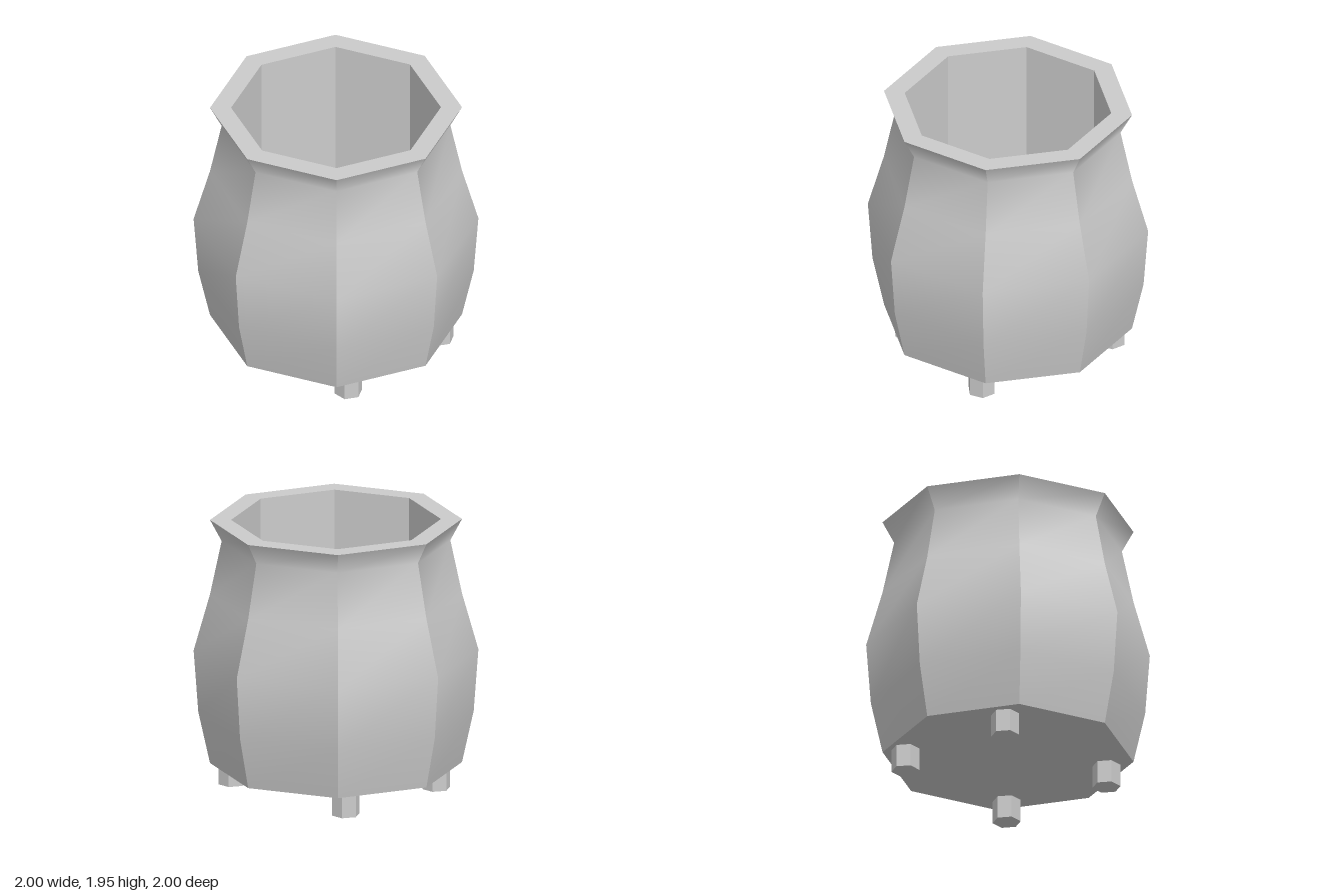
import * as THREE from 'three';
import { mergeGeometries } from 'three/addons/utils/BufferGeometryUtils.js';

const SIDES = 8;

// One side of the barrel: smooth along the profile, sharp against its neighbours.
function facet(profile, index) {
  const positions = [], indices = [];
  for (const [r, y] of profile) {
    for (const i of [index, index + 1]) {
      const a = (i / SIDES) * Math.PI * 2;
      positions.push(r * Math.sin(a), y, r * Math.cos(a));
    }
  }
  for (let k = 0; k < profile.length - 1; k++) {
    const b = 2 * k;
    if (profile[k][0] > 0) indices.push(b, b + 1, b + 3);
    if (profile[k + 1][0] > 0) indices.push(b, b + 3, b + 2);
  }
  const g = new THREE.BufferGeometry();
  g.setAttribute('position', new THREE.Float32BufferAttribute(positions, 3));
  g.setIndex(indices);
  g.computeVertexNormals();
  return g;
}

export function createModel() {
  const group = new THREE.Group();
  const material = new THREE.MeshStandardMaterial({ color: 0xcccccc });

  const addRing = (name, profile) => {
    const sides = Array.from({ length: SIDES }, (_, i) => facet(profile, i));
    const mesh = new THREE.Mesh(mergeGeometries(sides), material);
    mesh.name = name;
    group.add(mesh);
  };

  // Barrel shell, as [radius, height] profiles running from the underside to the inner floor
  addRing('underside', [[0, 0.165], [0.885, 0.165]]);
  addRing('outerWall', [[0.885, 0.165], [0.967, 0.54], [1, 0.99], [0.885, 1.4], [0.803, 1.79], [0.885, 1.945]]);
  addRing('rim', [[0.885, 1.945], [0.737, 1.945]]);
  addRing('innerWall', [[0.737, 1.945], [0.737, 0.32]]);
  addRing('innerFloor', [[0.737, 0.32], [0, 0.32]]);

  // Four short hexagonal feet
  const footMaterial = new THREE.MeshStandardMaterial({ color: 0xcccccc, flatShading: true });
  const footGeometry = new THREE.CylinderGeometry(0.1, 0.1, 0.2, 6).rotateY(Math.PI / 2);
  for (const x of [-0.555, 0.555]) {
    for (const z of [0.437, -0.475]) {
      const foot = new THREE.Mesh(footGeometry, footMaterial);
      foot.name = (z > 0 ? 'front' : 'back') + (x > 0 ? 'Left' : 'Right') + 'Foot';
      foot.position.set(x, 0.1, z);
      group.add(foot);
    }
  }
  return group;
}
